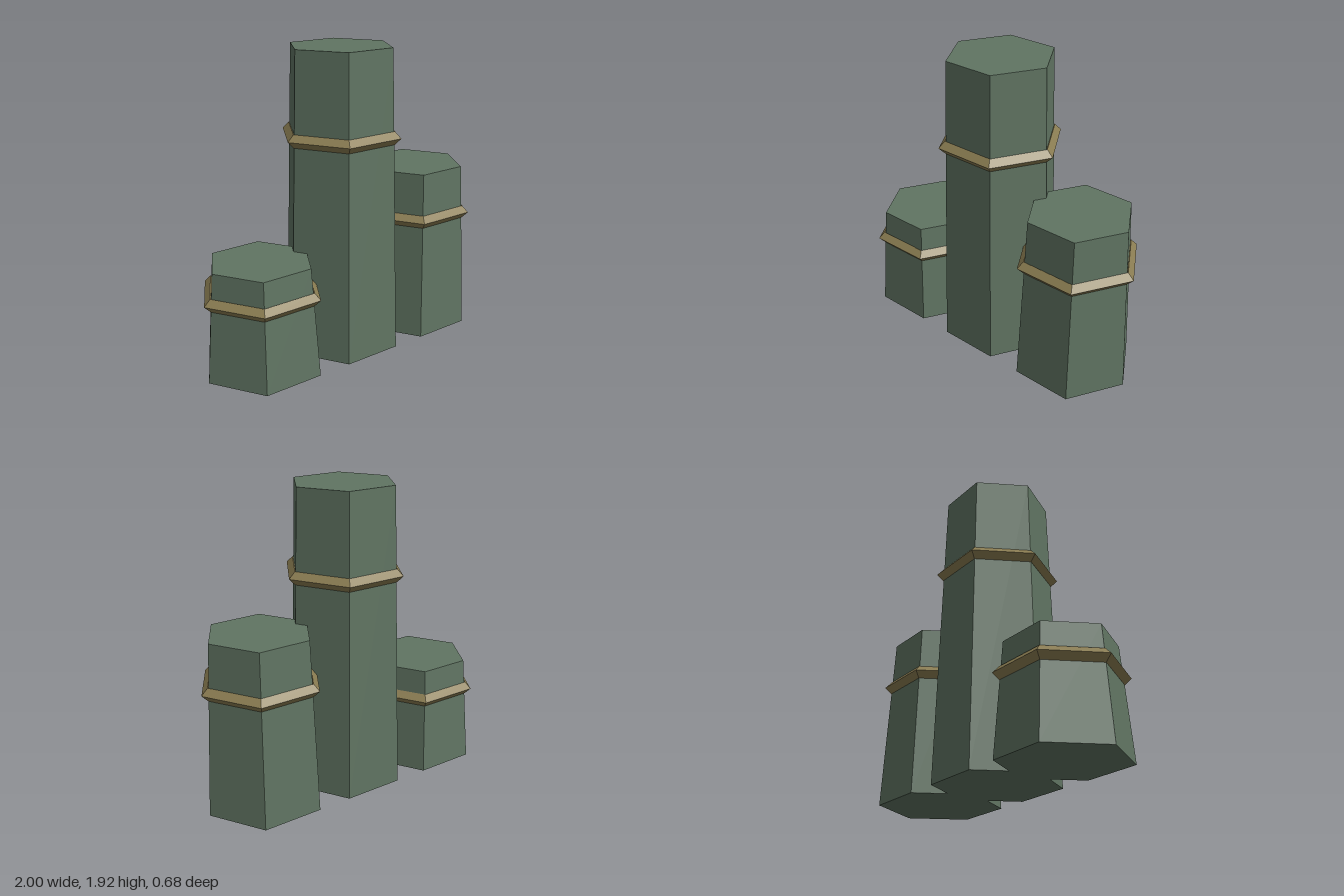
import * as THREE from 'three';

export function createModel() {
  const model = new THREE.Group();
  const stone = new THREE.MeshStandardMaterial({ color: 0x607462 });
  stone.name = 'mossy green stone';
  const brass = new THREE.MeshStandardMaterial({ color: 0x8b7d52 });
  brass.name = 'dull brass';
  stone.flatShading = brass.flatShading = true;

  // Tapered hexagonal column with a diamond-section band at 72% of its height
  function addColumn(name, x, height) {
    const column = new THREE.Group();
    column.name = name;
    column.position.x = x;

    const shaft = new THREE.Mesh(
      new THREE.CylinderGeometry(0.332, 0.387, height, 6, 1, false, Math.PI / 6), stone);
    shaft.name = name + 'Shaft';
    shaft.position.y = height / 2;

    const band = new THREE.Mesh(
      new THREE.TorusGeometry(0.352, 0.041, 4, 6).rotateX(Math.PI / 2), brass);
    band.name = name + 'Band';
    band.position.y = height * 0.72;

    column.add(shaft, band);
    model.add(column);
  }

  addColumn('tallColumn', 0, 1.922);
  addColumn('mediumColumn', 0.607, 1.1);
  addColumn('shortColumn', -0.607, 0.69);
  return model;
}
